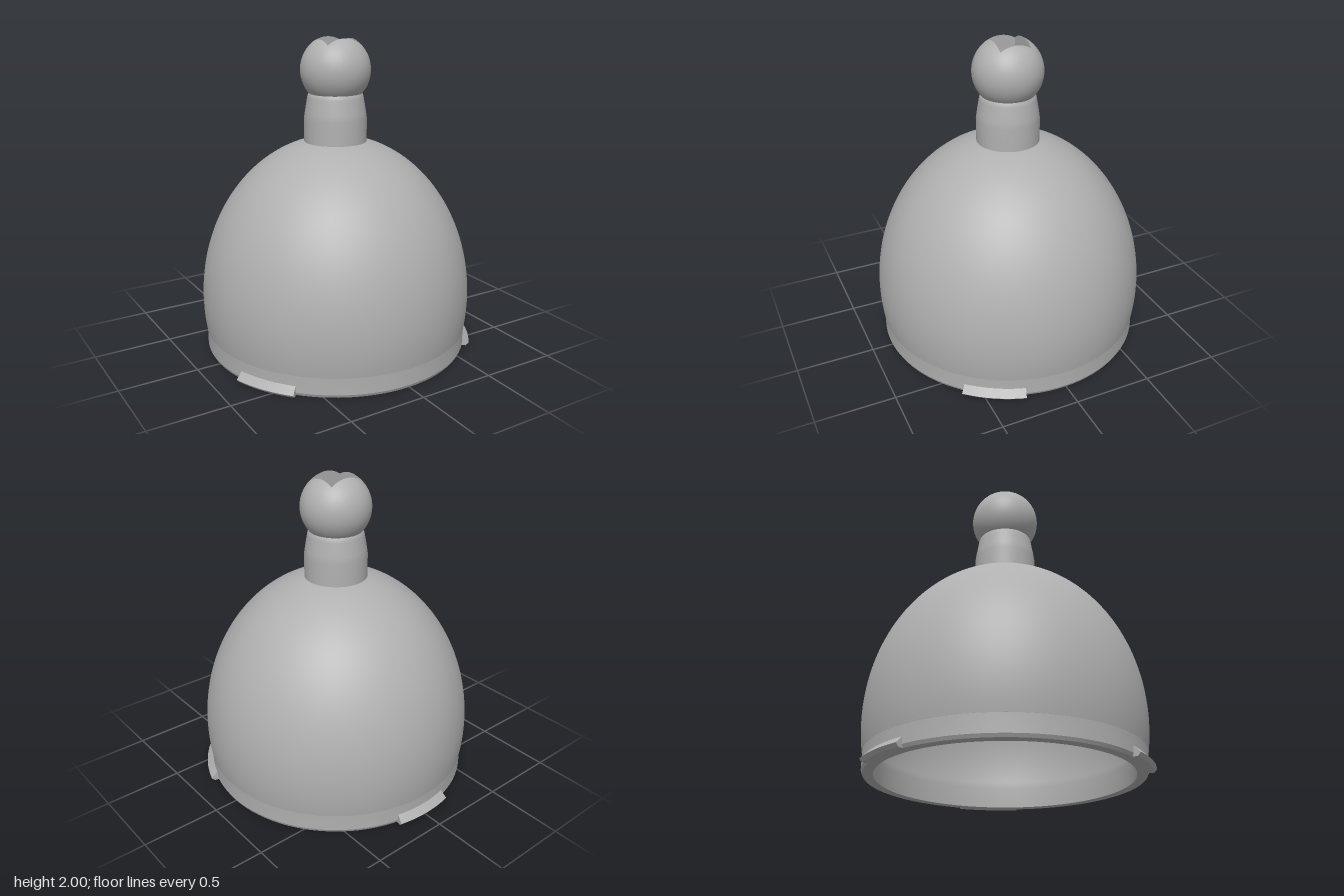
import * as THREE from 'three';
import { ParametricGeometry } from 'three/addons/geometries/ParametricGeometry.js';

const CZ = 0.012; // axis offset in z, balancing the rear lug
const BALL_Y = 1.803, BALL_R = 0.222;
const HOLE_X = 0.115, HOLE_Z = 0.1, HOLE_FLOOR = 1.65;

export function createModel() {
  const model = new THREE.Group();
  const body = new THREE.Group();
  body.name = 'bellBody';
  body.position.z = CZ;
  model.add(body);

  const grey = new THREE.MeshStandardMaterial({ color: 0xb0b0b0 });
  grey.name = 'grey';

  const add = (name, geometry, parent = body) => {
    const mesh = new THREE.Mesh(geometry, grey);
    mesh.name = name;
    parent.add(mesh);
    return mesh;
  };
  const lathe = (name, pts, segments = 96, start = 0, length = Math.PI * 2, parent = body) =>
    add(name, new THREE.LatheGeometry(pts.map(p => new THREE.Vector2(...p)), segments, start, length), parent);

  // Elliptical arc from height y0 up to the pole
  const arc = (a, b, cy, y0, n = 40) => {
    const t0 = Math.asin((y0 - cy) / b);
    return Array.from({ length: n + 1 }, (_, i) => {
      const t = t0 + (Math.PI / 2 - t0) * i / n;
      return [Math.max(0, a * Math.cos(t)), cy + b * Math.sin(t)];
    });
  };

  // Hollow dome with a straight band and chamfered rim
  lathe('domeOuter', arc(0.877, 1.05, 0.33, 0.13));
  lathe('band', [[0.858, 0.02], [0.858, 0.13], [0.861, 0.131]]);
  lathe('rimChamfer', [[0.848, 0], [0.858, 0.02]]);
  lathe('rim', [[0.785, 0], [0.848, 0]]);
  lathe('domeInner', [[0.785, 0], ...arc(0.8, 0.97, 0.33, 0.13)].reverse());

  // Neck
  lathe('neck', [[0.2, 1.3], [0.2, 1.5], [0.194, 1.54], [0.179, 1.63], [0.174, 1.65], [0.165, 1.662]], 48);

  // Point on the rectangular socket outline, running from +x towards +z
  const corners = [[1, -1], [1, 1], [-1, 1], [-1, -1]];
  const outline = u => {
    const s = Math.min(u * 4, 3.999999), i = Math.floor(s), f = s - i;
    const a = corners[i], b = corners[(i + 1) % 4];
    return [HOLE_X * (a[0] + (b[0] - a[0]) * f), HOLE_Z * (a[1] + (b[1] - a[1]) * f)];
  };

  // Ball, open at the top where the socket cuts through it
  const ball = new ParametricGeometry((u, v, target) => {
    const [x, z] = outline(u);
    const d = Math.hypot(x, z), t0 = Math.asin(d / BALL_R);
    const t = t0 + (Math.PI - t0) * v, r = BALL_R * Math.sin(t);
    target.set(r * x / d, BALL_R * Math.cos(t), r * z / d);
  }, 64, 32);
  const p = ball.attributes.position, n = new THREE.Vector3();
  for (let i = 0; i < p.count; i++) {
    n.fromBufferAttribute(p, i).normalize();
    ball.attributes.normal.setXYZ(i, n.x, n.y, n.z);
  }
  ball.translate(0, BALL_Y, 0);
  add('ball', ball);

  // Socket walls and floor
  const walls = new ParametricGeometry((u, v, target) => {
    const [x, z] = outline(u);
    const top = BALL_Y + Math.sqrt(BALL_R ** 2 - x * x - z * z);
    target.set(x, HOLE_FLOOR + (top - HOLE_FLOOR) * v, z);
  }, 64, 1).toNonIndexed();
  walls.computeVertexNormals();
  add('socketWalls', walls);
  add('socketFloor', new THREE.PlaneGeometry(HOLE_X * 2, HOLE_Z * 2).rotateX(-Math.PI / 2).translate(0, HOLE_FLOOR, 0));

  // Three wedge-shaped lugs around the rim
  const section = [[0.83, 0], [0.882, 0], [0.9, 0.02], [0.845, 0.075], [0.83, 0.075]];
  const half = Math.asin(0.2 / 0.9);
  const cap = sign => new THREE.ShapeGeometry(new THREE.Shape(section.map(([r, y]) => new THREE.Vector2(sign * r, y))));
  for (const [name, angle] of [['rearLug', Math.PI], ['leftLug', Math.PI / 3], ['rightLug', -Math.PI / 3]]) {
    const lug = new THREE.Group();
    lug.name = name;
    body.add(lug);
    for (let i = 0; i < section.length - 1; i++) {
      lathe('lugFace', [section[i], section[i + 1]], 12, angle - half, half * 2, lug);
    }
    add('lugEnd', cap(1).rotateY(angle - half - Math.PI / 2), lug);
    add('lugEnd', cap(-1).rotateY(angle + half + Math.PI / 2), lug);
  }
  return model;
}
